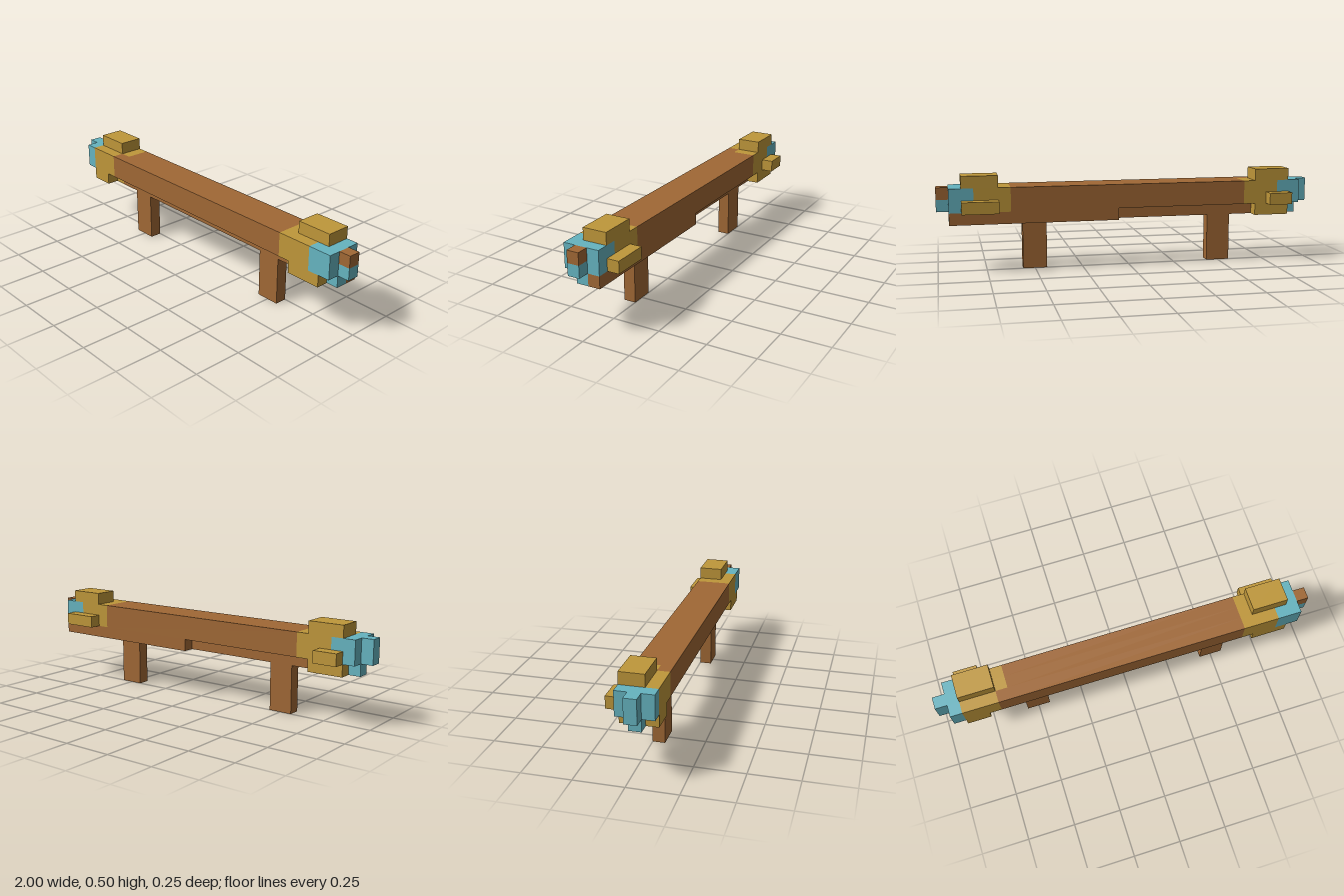
import * as THREE from 'three';

const U = 1 / 16; // grid unit

export function createModel() {
  const model = new THREE.Group();
  model.name = 'beam';
  const material = (name, color) => {
    const m = new THREE.MeshStandardMaterial({ color });
    m.name = name;
    return m;
  };
  const wood = material('wood brown', 0xa06835);
  const gold = material('ochre', 0xbf973a);
  const blue = material('pale blue', 0x66b4c0);

  // Box between grid corners
  function block(name, mat, [x0, x1], [y0, y1], [z0, z1], parent = model) {
    const geo = new THREE.BoxGeometry((x1 - x0) * U, (y1 - y0) * U, (z1 - z0) * U);
    const mesh = new THREE.Mesh(geo, mat);
    mesh.name = name;
    mesh.position.set((x0 + x1) / 2 * U, (y0 + y1) / 2 * U, (z0 + z1) / 2 * U);
    parent.add(mesh);
  }

  // A row along x, coloured in spans between successive stops
  function row(name, stops, mats, y, z) {
    const group = new THREE.Group();
    group.name = name;
    mats.forEach((mat, i) => block(name + 'Span', mat, [stops[i], stops[i + 1]], y, z, group));
    model.add(group);
  }

  // Main beam, three rows deep, with wrapped ends
  const bands = [blue, gold, wood, gold, blue];
  row('beamFront', [-15, -14, -11, 10, 13, 15], bands, [5, 7], [1, 2]);
  row('beamMiddle', [-15, -14, -10, 10, 14, 15], bands, [5, 7], [0, 1]);
  row('beamBack', [-15, -13, -10, 10, 13, 15], bands, [5, 7], [-1, 0]);

  // Lower ridge and its partial back strip
  row('lowerRidge', [-15, -14, -11, 10, 14, 15], bands, [4, 5], [0, 1]);
  block('lowerBackStrip', wood, [1, 15], [4, 5], [-1, 0]);
  block('lowerBackWrap', gold, [-14, -11], [4, 5], [-1, 0]);
  block('lowerFrontWrapRight', gold, [-14, -12], [4, 5], [1, 2]);
  block('lowerFrontWrapLeft', gold, [11, 14], [4, 5], [1, 2]);

  // Raised blocks on top and back of each end
  block('topBlockRight', gold, [-14, -11], [7, 8], [-1, 1]);
  block('topBlockLeft', gold, [11, 14], [7, 8], [-1, 1]);
  block('backKnobRight', gold, [-14, -12], [5, 6], [-2, -1]);
  block('backKnobLeft', gold, [11, 14], [5, 6], [-2, -1]);

  // End stubs
  block('endStubRight', blue, [-16, -15], [5, 7], [0, 1]);
  block('endStubLeftLower', blue, [15, 16], [5, 6], [0, 1]);
  block('endStubLeftUpper', wood, [15, 16], [6, 7], [0, 1]);

  // Legs
  for (const x of [-8, 8]) block('leg', wood, [x - 1, x + 1], [0, 4], [0, 1]);

  return model;
}
